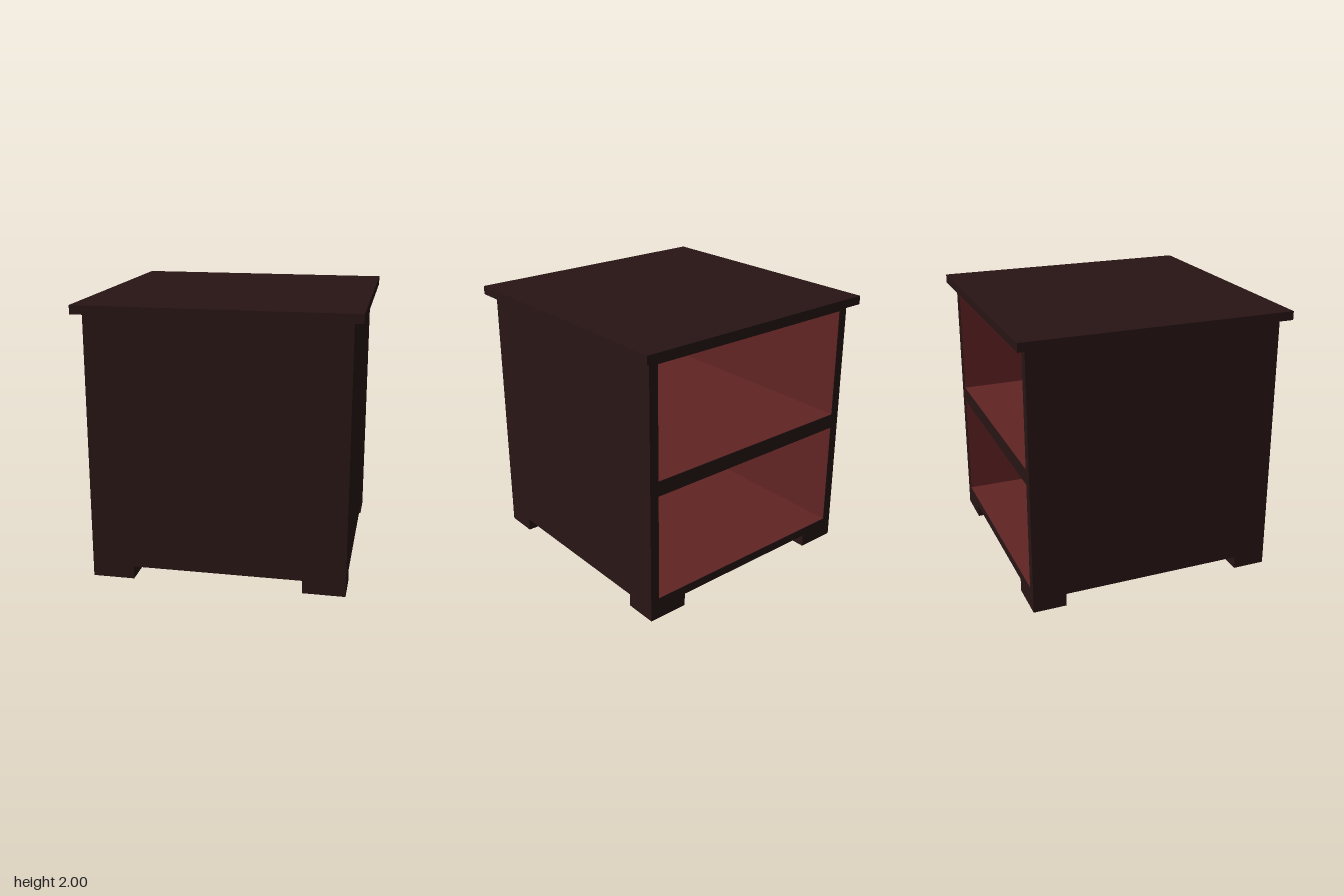
import * as THREE from 'three';

const darkWood = new THREE.MeshStandardMaterial({ color: 0x281515 });
const redLining = new THREE.MeshStandardMaterial({ color: 0x622424, side: THREE.DoubleSide });

// Box given by its extents along each axis
function panel(name, [x0, x1], [y0, y1], [z0, z1]) {
  const mesh = new THREE.Mesh(new THREE.BoxGeometry(x1 - x0, y1 - y0, z1 - z0), darkWood);
  mesh.name = name;
  mesh.position.set((x0 + x1) / 2, (y0 + y1) / 2, (z0 + z1) / 2);
  return mesh;
}

export function createModel() {
  const cabinet = new THREE.Group();
  cabinet.name = 'cabinet';

  const R = 0.92;           // half width and depth of the carcass
  const I = R - 0.07;       // inner half width
  const base = 0.095, floor = 0.16, shelfLow = 0.965, shelfHigh = 1.075, ceiling = 1.895, top = 1.937;

  // Carcass, open at the back
  cabinet.add(
    panel('tableTop', [-0.985, 0.985], [top, 2], [-0.985, 0.985]),
    panel('frontPanel', [-R, R], [base, top], [I, R]),
    panel('leftSide', [I, R], [base, top], [-R, I]),
    panel('rightSide', [-R, -I], [base, top], [-R, I]),
    panel('bottomPanel', [-I, I], [base, floor], [-R, I]),
    panel('middleShelf', [-I, I], [shelfLow, shelfHigh], [-R, I]),
    panel('topRail', [-I, I], [ceiling, top], [-R, I]),
  );

  // Corner feet
  for (const sx of [-1, 1]) {
    for (const sz of [-1, 1]) {
      const foot = panel('foot', [0.615, R], [0, base], [0.675, R]);
      foot.position.x *= sx;
      foot.position.z *= sz;
      cabinet.add(foot);
    }
  }

  // Red lining of each compartment: a box without its back face
  const gap = 0.002;
  for (const [name, y0, y1] of [['lowerLining', floor, shelfLow], ['upperLining', shelfHigh, ceiling]]) {
    const geometry = new THREE.BoxGeometry(2 * (I - gap), y1 - y0 - 2 * gap, R + I - 2 * gap);
    geometry.setIndex(Array.from(geometry.index.array).slice(0, 30));
    geometry.clearGroups();
    const lining = new THREE.Mesh(geometry, redLining);
    lining.name = name;
    lining.position.set(0, (y0 + y1) / 2, (I - R) / 2);
    cabinet.add(lining);
  }

  return cabinet;
}
